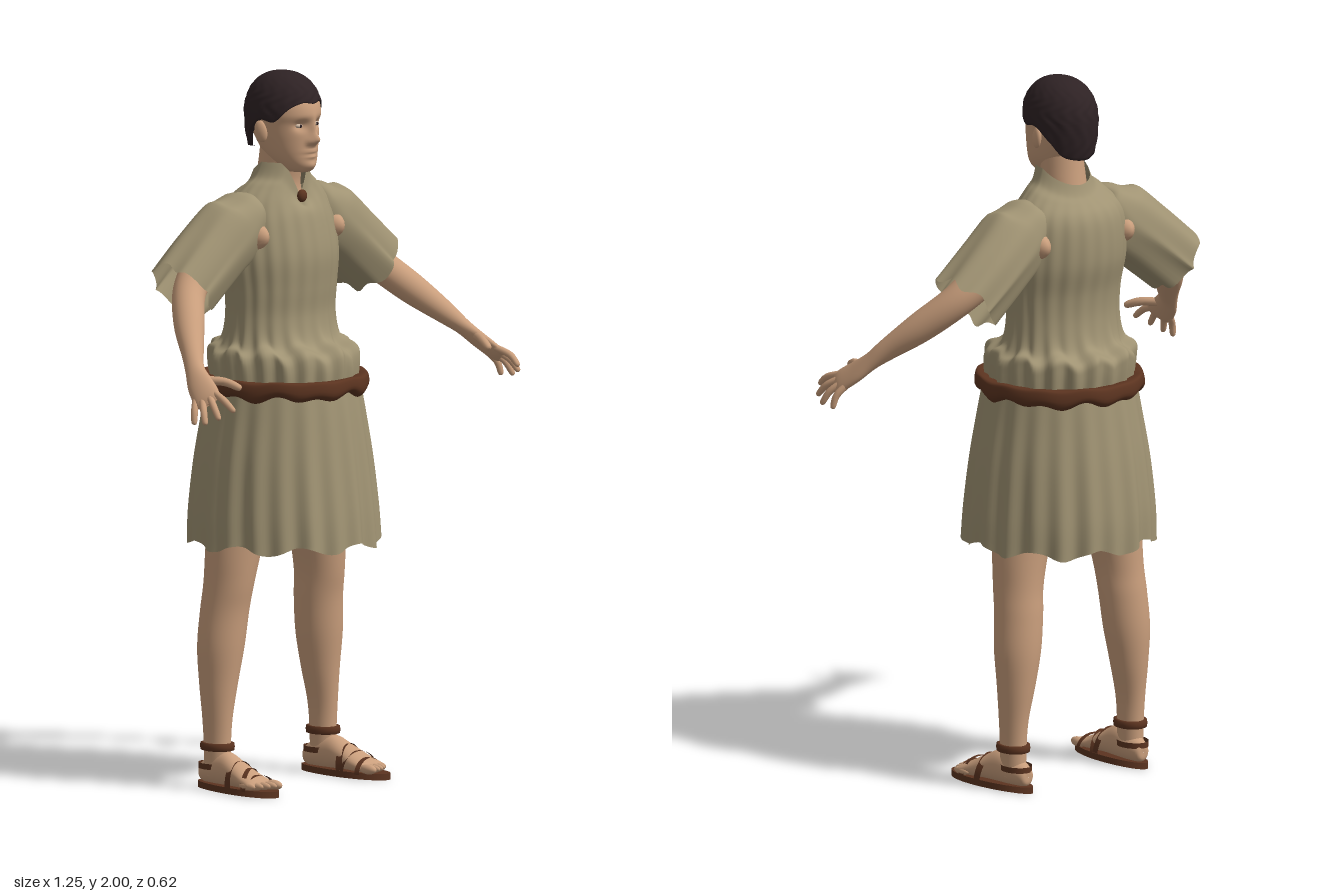
import * as THREE from 'three';
import { mergeVertices } from 'three/addons/utils/BufferGeometryUtils.js';

const V3 = (...a) => new THREE.Vector3(...a);
const { lerp, smoothstep } = THREE.MathUtils;
const material = (name, color, side = THREE.FrontSide) =>
  Object.assign(new THREE.MeshStandardMaterial({ color, side }), { name });

// Catmull-Rom interpolation through rows of numbers, t in 0..1
function sample(rows, t) {
  const last = rows.length - 1, x = Math.min(Math.max(t, 0), 1) * last;
  const i = Math.min(Math.floor(x), last - 1), f = x - i;
  const [p, q, r, s] = [-1, 0, 1, 2].map(d => rows[Math.min(Math.max(i + d, 0), last)]);
  return q.map((b, c) => b + 0.5 * f * (r[c] - p[c]
    + f * (2 * p[c] - 5 * b + 4 * r[c] - s[c] + f * (3 * (b - r[c]) + s[c] - p[c]))));
}

// Closed-loop grid surface from f(t, angle) -> Vector3
function surface(nt, na, f) {
  const pos = [], idx = [];
  for (let i = 0; i <= nt; i++) for (let j = 0; j < na; j++) {
    let a = j / na * Math.PI * 2;
    if (a > Math.PI) a -= Math.PI * 2;
    pos.push(...f(i / nt, a).toArray());
    if (i === nt) continue;
    const k = (j + 1) % na, A = i * na + j, B = i * na + k;
    idx.push(A, B, B + na, A, B + na, A + na);
  }
  const g = new THREE.BufferGeometry();
  g.setAttribute('position', new THREE.Float32BufferAttribute(pos, 3));
  g.setIndex(idx);
  g.computeVertexNormals();
  return g;
}

// Sweep of ellipses; rows are [x, y, z, radiusAcross, radiusAlongRef]
function sweep(rows, { axis, ref = V3(0, 0, 1), n = 32, k = 6, warp } = {}) {
  return surface((rows.length - 1) * k, n, (t, a) => {
    const [x, y, z, ru, rv] = sample(rows, t);
    const T = axis || V3(...sample(rows, t + 0.01)).sub(V3(...sample(rows, t - 0.01))).normalize();
    const v = ref.clone().addScaledVector(T, -ref.dot(T)).normalize();
    const u = T.clone().cross(v);
    const p = V3(x, y, z).addScaledVector(u, Math.sin(a) * Math.max(ru, 0))
      .addScaledVector(v, Math.cos(a) * Math.max(rv, 0));
    if (warp) warp(p, a, t, V3(x, y, z));
    return p;
  });
}
const UP = V3(0, 1, 0);
const level = (y, rx, front, back) => [0, y, (front + back) / 2, rx, (front - back) / 2];
const ball = (x, y, z, rx, ry, rz) => new THREE.SphereGeometry(1, 24, 16).scale(rx, ry, rz).translate(x, y, z);

function mirrored(g) {
  const m = g.clone().scale(-1, 1, 1), ix = m.index.array;
  for (let i = 0; i < ix.length; i += 3) [ix[i], ix[i + 1]] = [ix[i + 1], ix[i]];
  return m;
}

export function createModel() {
  const model = new THREE.Group();
  model.name = 'figure';
  const skin = material('skin', 0xc99e7c);
  const cloth = material('cloth', 0xa09373, THREE.DoubleSide);
  const leather = material('leather', 0x5c3420, THREE.DoubleSide);
  const hairMat = material('hair', 0x2e2224);
  const eyeMat = material('eye', 0xcbb5a0);

  const add = (name, geo, mat) => {
    const m = new THREE.Mesh(geo, mat);
    m.name = name;
    model.add(m);
  };
  const pair = (name, geo, mat) => {
    add(name + 'Left', geo, mat);
    add(name + 'Right', mirrored(geo), mat);
  };

  // Head, with nose, eye sockets and lips pushed out of the front
  const bump = (x, y, cx, cy, w, h) => Math.exp(-(((x - cx) / w) ** 2) - ((y - cy) / h) ** 2);
  add('head', sweep([
    level(1.722, 0.002, 0.03, 0.02), level(1.726, 0.032, 0.055, -0.04), level(1.745, 0.05, 0.068, -0.07),
    level(1.775, 0.066, 0.069, -0.10), level(1.82, 0.078, 0.069, -0.13), level(1.86, 0.084, 0.07, -0.145),
    level(1.89, 0.087, 0.076, -0.15), level(1.93, 0.085, 0.062, -0.148), level(1.965, 0.065, 0.025, -0.115),
    level(1.985, 0.02, -0.02, -0.06)], {
    axis: UP, n: 120, k: 8, warp(p) {
      if (p.z < 0) return;
      const x = Math.abs(p.x);
      p.z += 0.026 * bump(x, p.y, 0, 1.818, 0.013, 0.016) + 0.012 * bump(x, p.y, 0, 1.848, 0.01, 0.025)
        + 0.008 * bump(x, p.y, 0.014, 1.812, 0.008, 0.009) - 0.013 * bump(x, p.y, 0.033, 1.858, 0.017, 0.014)
        + 0.007 * bump(x, p.y, 0, 1.784, 0.022, 0.006) + 0.006 * bump(x, p.y, 0, 1.77, 0.018, 0.006)
        - 0.004 * bump(x, p.y, 0, 1.777, 0.025, 0.003) + 0.005 * bump(x, p.y, 0, 1.743, 0.02, 0.012);
    } }), skin);
  pair('eye', ball(0.033, 1.857, 0.049, 0.012, 0.006, 0.009), eyeMat);
  pair('iris', ball(0.033, 1.857, 0.0555, 0.0048, 0.0048, 0.004), hairMat);
  pair('ear', ball(0, 0, 0, 0.011, 0.031, 0.019).rotateX(-0.2).rotateY(-0.3).translate(0.087, 1.838, -0.045), skin);
  add('neck', sweep([[0, 1.58, -0.07, 0.1, 0.09], [0, 1.67, -0.065, 0.066, 0.066],
    [0, 1.73, -0.055, 0.06, 0.064], [0, 1.80, -0.04, 0.058, 0.07]], { axis: UP }), skin);

  // Cropped curly hair, cut along a hairline that drops towards the nape
  const hairline = [[1.918], [1.922], [1.905], [1.868], [1.872], [1.84], [1.795], [1.782], [1.778]];
  add('hair', surface(40, 96, (t, a) => {
    const y0 = sample(hairline, Math.abs(a) / Math.PI)[0] - 1.885;
    const low = Math.asin(y0 / (y0 > 0 ? 0.115 : 0.2));
    const tuck = t === 0 ? 0.86 : 1, phi = lerp(low, Math.PI / 2, Math.max(0, t - 0.025) / 0.975);
    const s = Math.sin(phi), curl = 1 + 0.016 * Math.sin(15 * a + 3 * Math.sin(7 * phi)) * Math.sin(11 * phi + 2 * a) * Math.cos(phi);
    const r = Math.cos(phi) ** 0.85 * tuck * curl;
    return V3(0.095 * r * Math.sin(a), 1.885 + s * (s > 0 ? 0.115 : 0.2), -0.042 + 0.12 * r * Math.cos(a));
  }), hairMat);

  // Pleated upper tunic, bloused above the belt, with a notched neckline
  const pleat = (p, c, amount) => {
    p.x += (p.x - c.x) * amount;
    p.z += (p.z - c.z) * amount;
  };
  add('tunicTop', sweep([
    level(1.12, 0.20, 0.16, -0.24), level(1.19, 0.207, 0.165, -0.25), level(1.225, 0.205, 0.15, -0.245),
    level(1.25, 0.182, 0.095, -0.2), level(1.32, 0.174, 0.075, -0.182), level(1.40, 0.177, 0.08, -0.185),
    level(1.49, 0.186, 0.085, -0.205), level(1.58, 0.18, 0.068, -0.205), level(1.64, 0.16, 0.048, -0.19),
    level(1.685, 0.12, 0.033, -0.165), level(1.71, 0.09, 0.026, -0.145), level(1.75, 0.074, 0.022, -0.13)], {
    axis: UP, n: 160, warp(p, a, t, c) {
      const high = smoothstep(c.y, 1.6, 1.75), low = 1 - smoothstep(c.y, 1.2, 1.32);
      pleat(p, c, (0.012 + 0.02 * low) * (1 - high) * (Math.sin(22 * a) + 0.4 * Math.sin(9 * a + 1)));
      p.y += 0.012 * low * Math.sin(11 * a);
      p.y -= high * (0.095 * Math.max(0, 1 - Math.abs(a) / 0.65) + 0.045 * Math.max(0, -Math.cos(a)));
    } }), cloth);
  add('neckTie', ball(0, 1.655, 0.03, 0.016, 0.018, 0.012), leather);

  // Flared skirt with deepening pleats and a wavy hem
  add('skirt', sweep([level(0.685, 0.265, 0.228, -0.302), level(0.78, 0.263, 0.22, -0.3),
    level(0.92, 0.25, 0.203, -0.285), level(1.05, 0.228, 0.185, -0.265), level(1.14, 0.212, 0.17, -0.25)], {
    axis: UP, n: 192, warp(p, a, t, c) {
      pleat(p, c, (0.006 + 0.028 * (1 - t)) * (Math.sin(21 * a) * 0.8 + 0.3 * Math.sin(13 * a + 2)));
      p.y += 0.012 * (1 - t) * Math.sin(9 * a + 1);
    } }), cloth);

  // Belt with an uneven lower edge
  add('belt', sweep([[1.105, 0.2], [1.105, 0.22], [1.12, 0.234], [1.145, 0.233], [1.155, 0.225], [1.152, 0.2]]
    .map(([y, r]) => [0, y, -0.04, r, r + 0.005]), {
    axis: UP, n: 128, k: 3, warp(p, a, t) {
      p.y += (1 - t) * (0.008 * Math.sin(12 * a) + 0.006 * Math.sin(7 * a + 1));
    } }), leather);

  // Sleeves, open at the cuff, with skin showing at the armhole
  pair('sleeve', sweep([[0.125, 1.65, -0.06, 0.004, 0.01], [0.135, 1.642, -0.06, 0.045, 0.07],
    [0.175, 1.582, -0.065, 0.1, 0.092], [0.27, 1.505, -0.073, 0.099, 0.1], [0.375, 1.42, -0.075, 0.094, 0.1]], {
    n: 64, warp(p, a, t, c) {
      const w = t * t;
      pleat(p, c, 0.03 * w * Math.sin(9 * a));
      p.x += 0.01 * w * Math.sin(5 * a);
      p.y += 0.008 * w * Math.sin(7 * a + 1);
    } }), cloth);
  pair('shoulder', ball(0.152, 1.555, -0.065, 0.042, 0.052, 0.108), skin);

  // Arms and hands, reaching out and forward
  const across = V3(-0.36, 0.32, 0.88).normalize();
  pair('arm', sweep([[0.12, 1.57, -0.06, 0.06, 0.06], [0.2, 1.55, -0.065, 0.07, 0.07],
    [0.29, 1.49, -0.068, 0.056, 0.056], [0.375, 1.42, -0.045, 0.047, 0.047], [0.45, 1.342, 0.025, 0.043, 0.043],
    [0.51, 1.275, 0.095, 0.031, 0.031], [0.54, 1.238, 0.132, 0.022, 0.028], [0.562, 1.203, 0.172, 0.018, 0.037],
    [0.58, 1.172, 0.215, 0.014, 0.04], [0.588, 1.158, 0.232, 0.006, 0.03], [0.589, 1.156, 0.234, 0.001, 0.002]],
    { ref: across }), skin);
  const digit = (a, b, c, r) => sweep([[...a, r, r], [...b, r, r], [...lerp3(b, c, 0.85), r * 0.8, r * 0.8], [...c, 0.001, 0.001]],
    { ref: across, n: 12, k: 4 });
  const lerp3 = (a, b, t) => a.map((v, i) => lerp(v, b[i], t));
  const tips = [[0.62, 1.1, 0.205], [0.622, 1.104, 0.25], [0.605, 1.12, 0.287], [0.573, 1.142, 0.315]];
  tips.forEach((tip, i) => {
    const root = V3(0.577, 1.176, 0.208).addScaledVector(across, (i - 1.5) * 0.02);
    const mid = root.clone().lerp(V3(...tip), 0.5).add(V3(0.006, 0.006, 0.004));
    pair('finger' + (i + 1), digit(root.toArray(), mid.toArray(), tip, 0.0098), skin);
  });
  pair('thumb', digit([0.553, 1.215, 0.17], [0.52, 1.212, 0.225], [0.5, 1.195, 0.272], 0.012), skin);

  // Legs
  pair('leg', sweep([[0.213, 0.04, -0.09, 0.033, 0.042], [0.213, 0.12, -0.092, 0.034, 0.041],
    [0.212, 0.2, -0.093, 0.038, 0.046], [0.205, 0.3, -0.095, 0.052, 0.057], [0.198, 0.4, -0.093, 0.065, 0.067],
    [0.189, 0.5, -0.087, 0.067, 0.07], [0.182, 0.58, -0.077, 0.068, 0.074], [0.165, 0.7, -0.07, 0.08, 0.082],
    [0.12, 0.95, -0.06, 0.1, 0.1]], { axis: UP }), skin);

  // Feet and toes
  pair('foot', sweep([[0.21, 0.045, -0.152, 0.001, 0.001], [0.21, 0.045, -0.147, 0.022, 0.026],
    [0.212, 0.055, -0.1, 0.035, 0.042], [0.215, 0.06, -0.05, 0.037, 0.048], [0.219, 0.05, 0, 0.041, 0.036],
    [0.223, 0.037, 0.05, 0.046, 0.024], [0.225, 0.03, 0.085, 0.045, 0.015], [0.225, 0.028, 0.095, 0.002, 0.002]],
    { axis: V3(0, 0, 1), ref: UP }), skin);
  for (let i = 0; i < 5; i++)
    pair('toe' + (i + 1), ball(0.19 + i * 0.0185, 0.029, 0.102 - i * i * 0.002,
      i ? 0.0095 : 0.014, i ? 0.011 : 0.014, 0.03), skin);

  // Sandals: sole, ankle band and arched straps
  const sole = new THREE.CylinderGeometry(1, 1, 0.018, 48), sp = sole.attributes.position;
  for (let i = 0; i < sp.count; i++) {
    const z = sp.getZ(i);
    sp.setXYZ(i, 0.217 + 0.008 * z + sp.getX(i) * (0.049 + 0.008 * z), sp.getY(i) + 0.009, -0.01 + 0.156 * z);
  }
  pair('sole', sole, leather);
  const band = (rx, rz, h) => new THREE.CylinderGeometry(1, 1, h, 32, 1, true).scale(rx, 1, rz);
  pair('ankleBand', sweep([[0.11, 0.034], [0.111, 0.043], [0.13, 0.043], [0.131, 0.034]]
    .map(([y, r]) => [0.213, y, -0.092, r, r + 0.008]), { axis: UP, k: 2 }), leather);
  const arch = (z, rx, ry, w, tilt, turn) => new THREE.CylinderGeometry(1, 1, w, 24, 1, true, -Math.PI / 2, Math.PI)
    .scale(rx, 1, ry).rotateX(-Math.PI / 2 + tilt).rotateY(turn).translate(0.22, 0.014, z);
  pair('instepStrap', arch(0.005, 0.05, 0.074, 0.022, -0.15, 0.1), leather);
  pair('middleStrap', arch(0.04, 0.054, 0.058, 0.014, 0, -0.35), leather);
  pair('toeStrap', arch(0.072, 0.054, 0.042, 0.016, 0, 0.15), leather);
  pair('heelStrap', band(0.04, 0.052, 0.016).translate(0.212, 0.065, -0.102), leather);

  return model;
}
